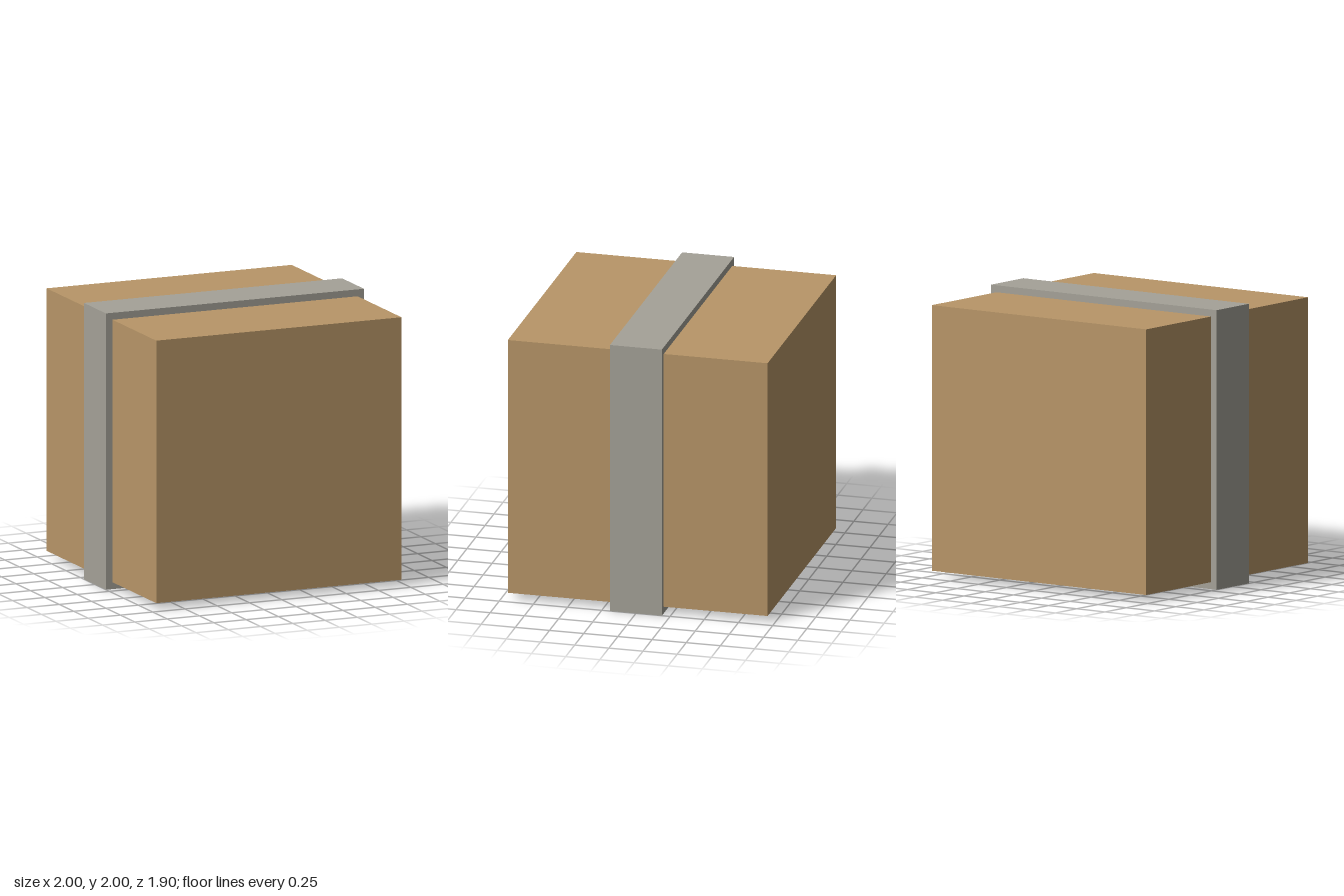
import * as THREE from 'three';

export function createModel() {
  const group = new THREE.Group();

  const addBox = (name, width, height, depth, color) => {
    const mesh = new THREE.Mesh(
      new THREE.BoxGeometry(width, height, depth),
      new THREE.MeshStandardMaterial({ color })
    );
    mesh.name = name;
    mesh.position.y = 1;
    group.add(mesh);
  };

  // Cardboard cube, raised slightly by the band beneath it
  addBox('carton', 1.9, 1.9, 1.9, 0xb89668);

  // Tape band wrapped around the middle, proud of the carton on four sides
  addBox('tapeBand', 2, 2, 0.38, 0xa5a298);

  return group;
}
